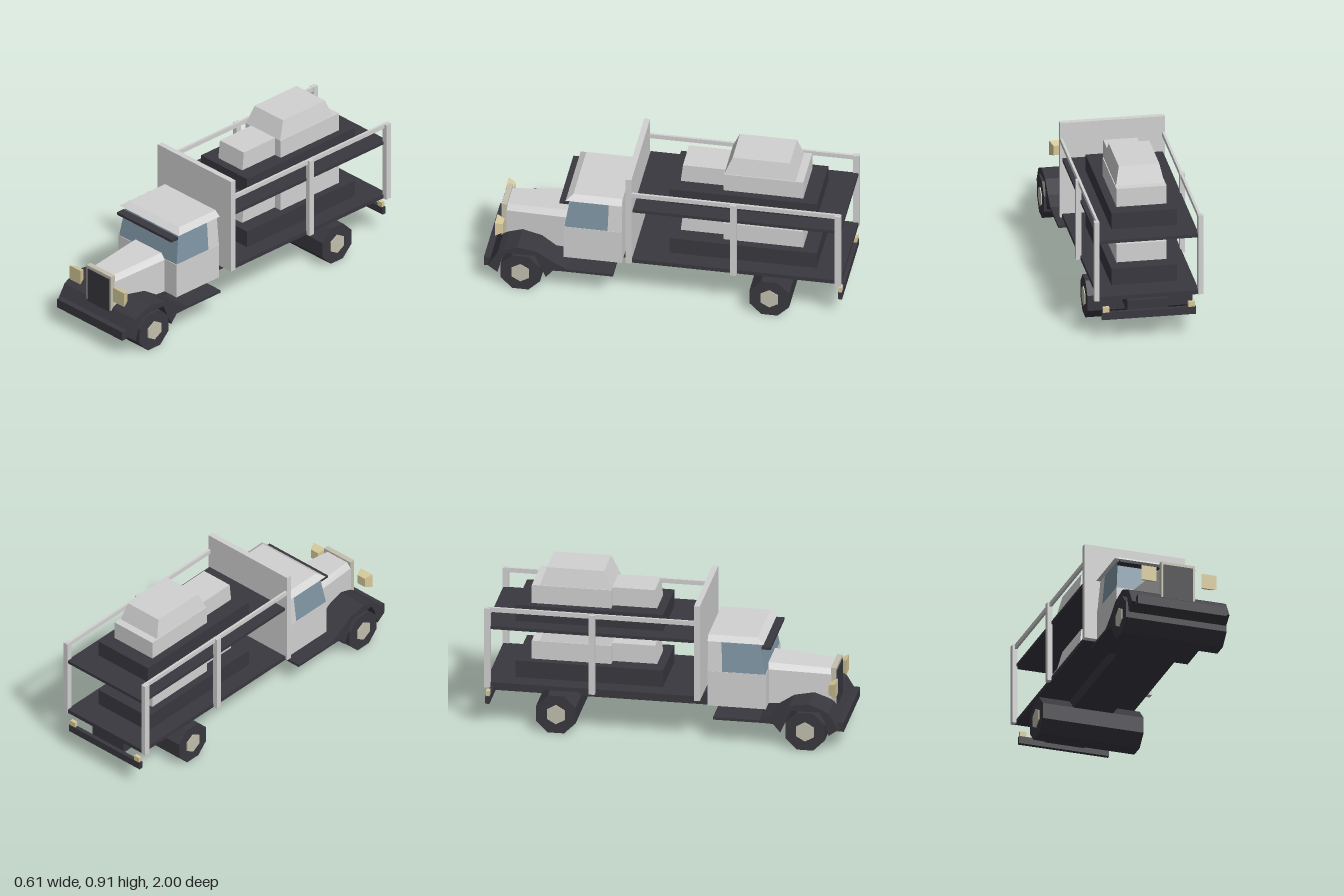
import * as THREE from 'three';

export function createModel() {
  const model = new THREE.Group();
  model.name = 'carrierTruck';
  const mat = (name, color) => {
    const m = new THREE.MeshStandardMaterial({ color });
    m.name = name;
    return m;
  };
  const grey = mat('lightGreyPaint', 0xd2d2d2);
  const dark = mat('darkCharcoal', 0x39383f);
  const glass = mat('blueGlass', 0x7f95a3);
  const trim = mat('paleTrim', 0xc4c1b0);
  const lamp = mat('lampCream', 0xd6c99a);

  // Faceted mesh from any geometry
  const add = (name, geo, material, parent = model) => {
    const flat = geo.index ? geo.toNonIndexed() : geo;
    flat.computeVertexNormals();
    const mesh = new THREE.Mesh(flat, material);
    mesh.name = name;
    parent.add(mesh);
    return mesh;
  };
  // Box given by its limits on each axis
  const box = (name, material, x0, x1, y0, y1, z0, z1, parent) => {
    const g = new THREE.BoxGeometry(x1 - x0, y1 - y0, z1 - z0);
    g.translate((x0 + x1) / 2, (y0 + y1) / 2, (z0 + z1) / 2);
    return add(name, g, material, parent);
  };
  // Tapered block: bottom and top are [half width, back z, front z]
  const taper = (name, material, y0, bottom, y1, top, parent) => {
    const g = new THREE.BoxGeometry(2, 2, 2);
    const p = g.attributes.position;
    for (let i = 0; i < p.count; i++) {
      const up = p.getY(i) > 0;
      const [hx, zb, zf] = up ? top : bottom;
      p.setXYZ(i, p.getX(i) * hx, up ? y1 : y0, p.getZ(i) > 0 ? zf : zb);
    }
    return add(name, g, material, parent);
  };
  const outline = (pts) => new THREE.Shape(pts.map(([a, b]) => new THREE.Vector2(a, b)));

  // Chassis and full-width axle rollers with hubs
  box('chassis', dark, -0.115, 0.115, 0.155, 0.225, -0.97, 0.7);
  for (const [name, z] of [['frontWheels', 0.79], ['rearWheels', -0.6]]) {
    const wheel = new THREE.CylinderGeometry(0.119, 0.119, 0.586, 8);
    wheel.rotateZ(Math.PI / 2).rotateX(Math.PI / 8).translate(0, 0.11, z);
    add(name, wheel, dark);
    for (const s of [-1, 1]) {
      const hub = new THREE.CylinderGeometry(0.057, 0.057, 0.008, 6);
      hub.rotateZ(Math.PI / 2).rotateX(Math.PI / 2).translate(s * 0.294, 0.11, z);
      add('hub', hub, trim);
    }
  }

  // Front fender and running board, one profile (z, y) swept across the width
  const fender = new THREE.ExtrudeGeometry(outline([
    [0.975, 0.13], [0.92, 0.22], [0.89, 0.238], [0.81, 0.27], [0.70, 0.252],
    [0.61, 0.195], [0.53, 0.155], [0.275, 0.155], [0.275, 0.14], [0.56, 0.14],
    [0.61, 0.138], [0.65, 0.09], [0.69, 0.18], [0.71, 0.225], [0.87, 0.225],
    [0.895, 0.18], [0.92, 0.09],
  ]), { depth: 0.566, bevelEnabled: false });
  fender.rotateY(-Math.PI / 2).translate(0.283, 0, 0);
  add('fenderAndRunningBoard', fender, dark);
  box('frontBumper', dark, -0.258, 0.258, 0.11, 0.163, 0.965, 1);

  // Hood: chamfered section narrowing towards the grille
  const hood = new THREE.ExtrudeGeometry(outline([
    [-0.137, 0.2], [0.137, 0.2], [0.137, 0.4], [0.102, 0.428], [-0.102, 0.428], [-0.137, 0.4],
  ]), { depth: 0.36, bevelEnabled: false });
  const hp = hood.attributes.position;
  for (let i = 0; i < hp.count; i++) {
    const t = hp.getZ(i) / 0.36;
    hp.setX(i, hp.getX(i) * (1 - 0.29 * t));
    if (hp.getY(i) > 0.3) hp.setY(i, hp.getY(i) - 0.022 * t);
  }
  hood.translate(0, 0, 0.55);
  add('hood', hood, grey);

  // Grille surround and dark core
  box('grilleSurround', trim, -0.098, 0.098, 0.197, 0.418, 0.9, 0.93);
  box('grilleCore', dark, -0.085, 0.085, 0.197, 0.4, 0.928, 0.935);

  // Headlights, narrower at the back
  for (const s of [-1, 1]) {
    const g = new THREE.BoxGeometry(0.088, 0.086, 0.042);
    const p = g.attributes.position;
    for (let i = 0; i < p.count; i++) {
      if (p.getZ(i) < 0) p.setXY(i, p.getX(i) * 0.6, p.getY(i) * 0.65);
    }
    g.translate(s * 0.174, 0.328, 0.925);
    add('headlight', g, lamp);
  }

  // Cab
  const cab = new THREE.Group();
  cab.name = 'cab';
  model.add(cab);
  box('cabBody', grey, -0.23, 0.23, 0.2, 0.405, 0.235, 0.56, cab);
  taper('cabRearPillar', grey, 0.405, [0.228, 0.235, 0.315], 0.59, [0.21, 0.235, 0.31], cab);
  taper('windows', glass, 0.405, [0.228, 0.315, 0.557], 0.59, [0.21, 0.31, 0.525], cab);
  taper('roof', grey, 0.585, [0.235, 0.235, 0.548], 0.612, [0.2, 0.235, 0.51], cab);
  box('sunVisor', dark, -0.217, 0.217, 0.55, 0.565, 0.535, 0.585, cab);

  // Carrier bed: headboard, two decks, posts and rails
  box('headboard', grey, -0.292, 0.292, 0.248, 0.813, 0.17, 0.203);
  box('lowerDeck', dark, -0.28, 0.28, 0.247, 0.27, -0.995, 0.17);
  box('upperDeck', dark, -0.28, 0.28, 0.587, 0.605, -0.995, 0.165);
  for (const s of [-1, 1]) {
    const side = (name, y0, y1, z0, z1, xi, xo) =>
      box(name, grey, Math.min(s * xi, s * xo), Math.max(s * xi, s * xo), y0, y1, z0, z1);
    side('middlePost', 0.247, 0.718, -0.416, -0.382, 0.275, 0.304);
    side('rearPost', 0.247, 0.718, -1, -0.966, 0.275, 0.304);
    side('sideRail', 0.694, 0.72, -0.99, 0.17, 0.277, 0.291);
    box('tailLight', lamp, s * 0.238 - 0.018, s * 0.238 + 0.018, 0.17, 0.205, -0.998, -0.978);
  }
  box('rearBumper', dark, -0.262, 0.262, 0.132, 0.175, -1, -0.977);

  // Cargo vehicles, one per deck
  for (const [name, y] of [['lowerCargo', 0.268], ['upperCargo', 0.6]]) {
    const cargo = new THREE.Group();
    cargo.name = name;
    cargo.position.y = y;
    model.add(cargo);
    box('cargoBase', dark, -0.183, 0.183, 0, 0.1, -0.845, -0.022, cargo);
    taper('cargoNose', grey, 0.1, [0.095, -0.33, -0.07], 0.207, [0.095, -0.33, -0.082], cargo);
    box('cargoBody', grey, -0.14, 0.14, 0.1, 0.207, -0.762, -0.318, cargo);
    taper('cargoCabin', grey, 0.207, [0.135, -0.718, -0.32], 0.308, [0.113, -0.682, -0.363], cargo);
  }
  return model;
}
